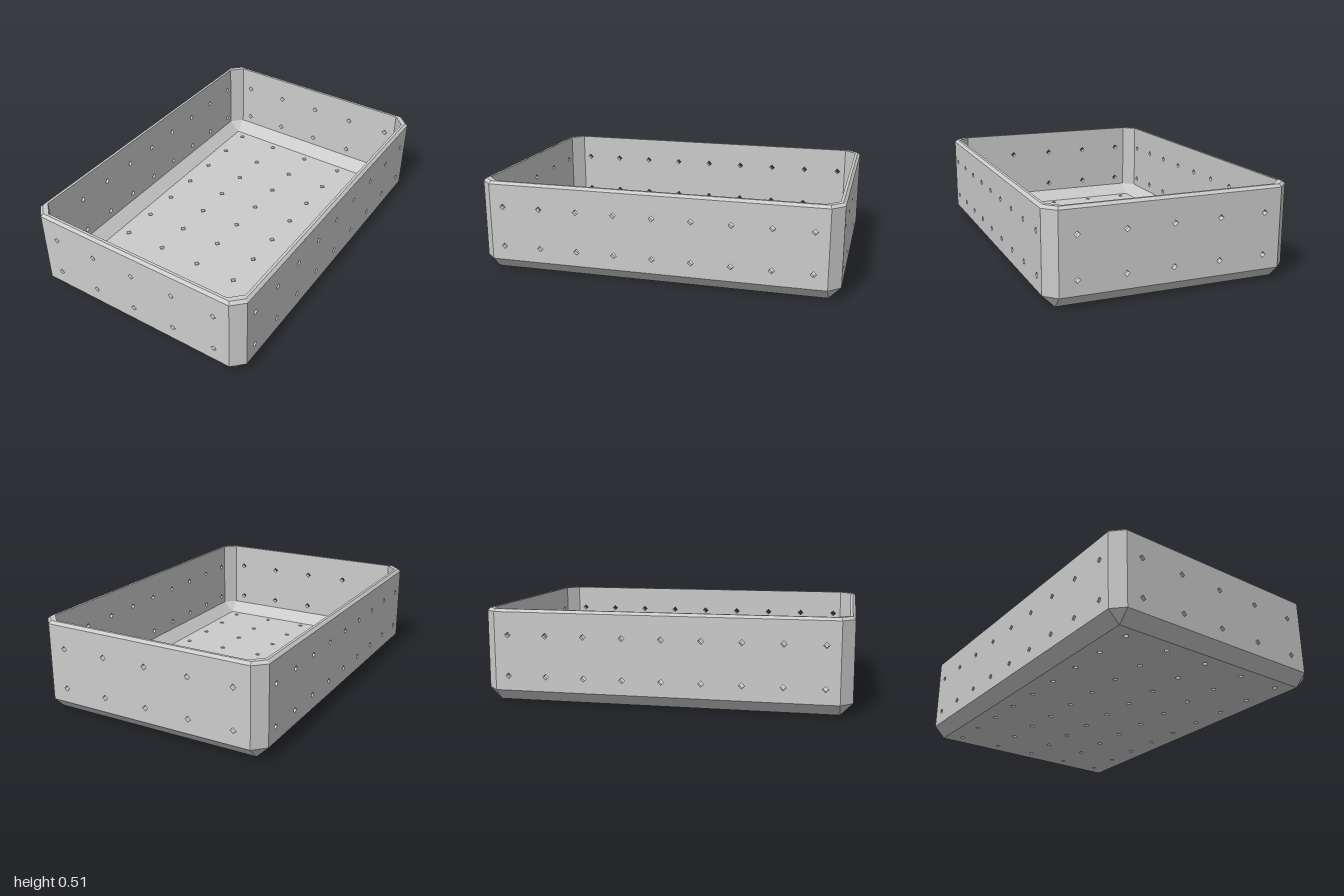
import * as THREE from 'three';
import { mergeGeometries } from 'three/addons/utils/BufferGeometryUtils.js';

const HX = 0.675, HZ = 1, H = 0.515;      // outer half width, half depth, height
const C = 0.065, T = 0.03, B = 0.015;     // corner chamfer, wall thickness, rim bevel
const HOLE = 0.0165;                      // half diagonal of a diamond hole
const material = new THREE.MeshStandardMaterial({ color: 0xcccccc, flatShading: true });

const spaced = (n, step) => Array.from({ length: n }, (_, i) => (i - (n - 1) / 2) * step);
const acrossX = spaced(5, 0.258), acrossZ = spaced(9, 0.215), upY = [0.146, 0.373];

function flip(geometry) {
  const index = geometry.index.array;
  for (let i = 0; i < index.length; i += 3) [index[i], index[i + 1]] = [index[i + 1], index[i]];
  return geometry;
}

// One flat rectangular skin pierced by diamond holes
function skin(x, y0, y1, z, holes) {
  const shape = new THREE.Shape([[-x, y0], [x, y0], [x, y1], [-x, y1]].map(p => new THREE.Vector2(...p)));
  for (const [u, v] of holes) {
    shape.holes.push(new THREE.Path([[HOLE, 0], [0, -HOLE], [-HOLE, 0], [0, HOLE]]
      .map(([a, b]) => new THREE.Vector2(u + a, v + b))));
  }
  return new THREE.ShapeGeometry(shape).translate(0, 0, z);
}

// Outer skin, inner skin and the hole linings between them, facing +z
function panel(name, x, y0, y1, innerTop, distance, us, vs) {
  const holes = us.flatMap(u => vs.map(v => [u, v]));
  const parts = [
    skin(x, y0, y1, distance, holes),
    flip(skin(x - T, y0 + T, innerTop, distance - T, holes)),
    ...holes.map(([u, v]) => flip(new THREE.CylinderGeometry(HOLE, HOLE, T, 4, 1, true))
      .rotateX(Math.PI / 2).translate(u, v, distance - T / 2)),
  ];
  const geometry = mergeGeometries(parts.map(g => g.toNonIndexed()));
  geometry.computeVertexNormals();
  const mesh = new THREE.Mesh(geometry, material);
  mesh.name = name;
  return mesh;
}

// Rectangle with cut corners; even segments are the corners
function ring(x, z, c, y) {
  return [[x, z - c], [x - c, z], [c - x, z], [-x, z - c], [-x, c - z], [c - x, -z], [x - c, -z], [x, c - z]]
    .map(([px, pz]) => [px, y, pz]);
}

// Joins two rings; with cornersOnly the straight sides stay open for the panels
function band(name, low, high, cornersOnly = false) {
  const positions = [];
  for (let i = 0; i < 8; i += cornersOnly ? 2 : 1) {
    const j = (i + 1) % 8;
    for (const tri of [[low[j], low[i], high[i]], [low[j], high[i], high[j]]]) {
      const [a, b, c] = tri.map(p => new THREE.Vector3(...p));
      if (new THREE.Triangle(a, b, c).getArea() > 1e-8) positions.push(...tri.flat());
    }
  }
  const geometry = new THREE.BufferGeometry();
  geometry.setAttribute('position', new THREE.Float32BufferAttribute(positions, 3));
  geometry.computeVertexNormals();
  const mesh = new THREE.Mesh(geometry, material);
  mesh.name = name;
  return mesh;
}

export function createModel() {
  const group = new THREE.Group();
  group.name = 'perforatedTray';

  // Perforated walls
  const walls = [
    ['frontWall', 0, HX, HZ, acrossX], ['leftWall', 1, HZ, HX, acrossZ],
    ['backWall', 2, HX, HZ, acrossX], ['rightWall', 3, HZ, HX, acrossZ],
  ];
  for (const [name, turn, half, distance, us] of walls) {
    const wall = panel(name, half - C, C, H - B, H, distance, us, upY);
    wall.rotation.y = turn * Math.PI / 2;
    group.add(wall);
  }

  // Perforated floor
  const floor = panel('floor', HX - C, C - HZ, HZ - C, HZ - C - T, 0, acrossX, acrossZ);
  floor.rotation.x = Math.PI / 2;
  group.add(floor);

  // Chamfers, corners and rim, from the outer base over the rim to the inner floor
  const rings = [
    ring(HX - C, HZ - C, 0, 0),
    ring(HX, HZ, C, C),
    ring(HX, HZ, C, H - B),
    ring(HX - B, HZ - B, C - B * 0.586, H),
    ring(HX - T, HZ - T, C, H),
    ring(HX - T, HZ - T, C, C + T),
    ring(HX - T - C, HZ - T - C, 0, T),
  ];
  ['outerBaseChamfer', 'outerCorners', 'rimBevel', 'rimTop', 'innerCorners', 'innerBaseChamfer']
    .forEach((name, i) => group.add(band(name, rings[i], rings[i + 1], name.endsWith('Corners'))));
  return group;
}
